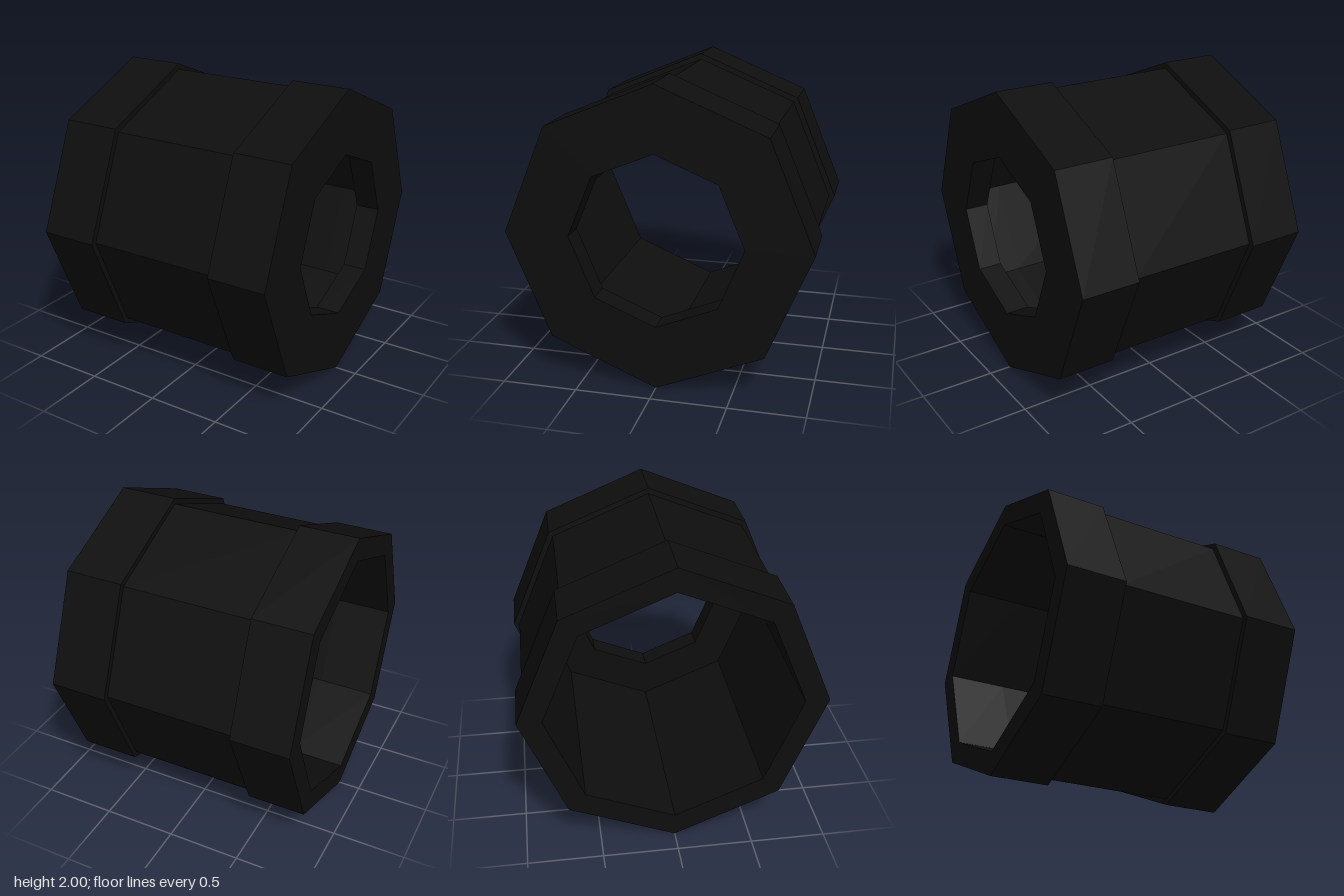
import * as THREE from 'three';

const SIDES = 8;
const OUTER = 1;        // flange radius
const WAIST = 0.96;     // barrel radius
const BORE = 0.84;      // hollow interior radius
const HOLE = 0.57;      // opening in the end wall
const END = 0.85;       // half length
const STEP = 0.45;      // half length of the barrel
const WALL = 0.685;     // inner face of the end wall

export function createModel() {
  const group = new THREE.Group();
  group.name = 'octagonalSleeve';
  const black = new THREE.MeshStandardMaterial({ color: 0x0e0e0e });
  black.name = 'black';

  // Faceted ring around the x axis from [radius, x] profile points
  const addRing = (name, profile) => {
    const points = profile.map(([r, x]) => new THREE.Vector2(r, x));
    const geometry = new THREE.LatheGeometry(points, SIDES).toNonIndexed();
    geometry.rotateZ(-Math.PI / 2);
    geometry.translate(0, 1, 0);
    geometry.computeVertexNormals();
    const mesh = new THREE.Mesh(geometry, black);
    mesh.name = name;
    group.add(mesh);
  };

  // Open end with a thin rim
  addRing('openFlange', [
    [BORE, -STEP], [BORE, -END], [OUTER, -END], [OUTER, -STEP], [WAIST, -STEP],
  ]);

  // Slightly recessed middle, outside and inside
  addRing('barrelOutside', [[WAIST, -STEP], [WAIST, STEP]]);
  addRing('barrelInside', [[BORE, STEP], [BORE, -STEP]]);

  // Closed end: a thick wall with a smaller opening
  addRing('walledFlange', [
    [WAIST, STEP], [OUTER, STEP], [OUTER, END], [HOLE, END],
    [HOLE, WALL], [BORE, WALL], [BORE, STEP],
  ]);

  return group;
}
